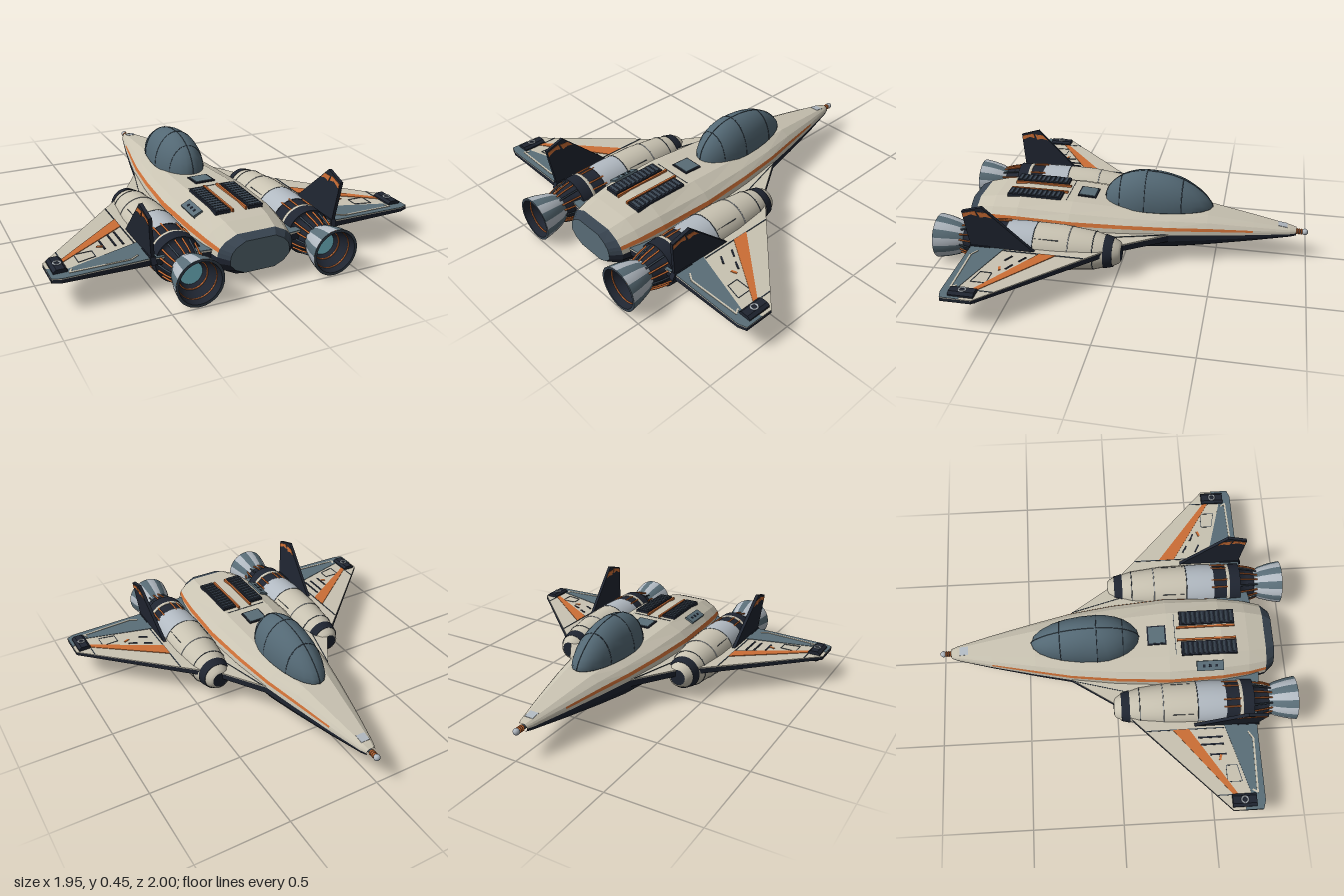
import * as THREE from 'three';

const mat = (name, color) => Object.assign(new THREE.MeshStandardMaterial({ color }), { name });
const cream = mat('cream hull', 0xc9c3b2), navy = mat('dark navy', 0x1f2531), slate = mat('slate', 0x5a6e78),
  orange = mat('orange trim', 0xcc6e35), metal = mat('bare metal', 0xb2bac2), glass = mat('canopy glass', 0x536874),
  glow = mat('engine glow', 0x88dcec), frame = mat('frame grey', 0x384450);

// Fuselage stations: z, half width, top, chine and bottom heights
const stations = [
  [-0.935, 0.027, 0.182, 0.162, 0.142], [-0.9, 0.042, 0.19, 0.162, 0.135], [-0.7, 0.095, 0.22, 0.165, 0.105],
  [-0.45, 0.155, 0.255, 0.17, 0.07], [-0.25, 0.2, 0.267, 0.175, 0.047], [0, 0.235, 0.275, 0.18, 0.035],
  [0.3, 0.26, 0.293, 0.175, 0.025], [0.6, 0.25, 0.3, 0.17, 0.02], [0.75, 0.23, 0.282, 0.165, 0.025],
  [0.85, 0.205, 0.26, 0.16, 0.05], [0.9, 0.16, 0.242, 0.155, 0.075]];
// Half section: width fraction, height fraction (+ above chine, - below)
const section = [[0, 1], [0.5, 1], [0.8, 0.7], [0.935, 0.42], [0.975, 0.24], [1, 0], [1, -0.3], [0.82, -0.7], [0.5, -1], [0, -1]];
const hullPoint = (i, j, s) => {
  const [z, w, t, m, b] = stations[i], [u, v] = section[j];
  return [s * u * w, v > 0 ? m + v * (t - m) : m + v * (m - b), z];
};

export function createModel() {
  const model = new THREE.Group();
  const add = (name, geo, material, parent = model) => {
    const m = new THREE.Mesh(geo, material);
    m.name = name;
    parent.add(m);
    return m;
  };
  const box = (name, w, h, d, x, y, z, material, parent) => {
    const m = add(name, new THREE.BoxGeometry(w, h, d), material, parent);
    m.position.set(x, y, z);
    return m;
  };
  const shapeOf = pts => new THREE.Shape(pts.map(p => new THREE.Vector2(...p)));
  const extrude = (pts, depth) => new THREE.ExtrudeGeometry(shapeOf(pts), { depth, bevelEnabled: false });

  // Faceted hull bands between section points j0..j1 and stations i0..i1
  const band = (name, i0, i1, j0, j1, material) => {
    const pos = [];
    for (const s of [1, -1]) for (let i = i0; i < i1; i++) for (let j = j0; j < j1; j++) {
      const a = hullPoint(i, j, s), b = hullPoint(i, j + 1, s), c = hullPoint(i + 1, j + 1, s), d = hullPoint(i + 1, j, s);
      pos.push(...(s > 0 ? [a, d, c, a, c, b] : [a, c, d, a, b, c]).flat());
    }
    const g = new THREE.BufferGeometry();
    g.setAttribute('position', new THREE.Float32BufferAttribute(pos, 3));
    g.computeVertexNormals();
    add(name, g, material);
  };
  band('upperHull', 0, 9, 0, 3, cream);
  band('noseSideBand', 0, 2, 3, 4, cream);
  band('hullStripe', 2, 9, 3, 4, orange);
  band('chineBand', 0, 9, 4, 5, cream);
  band('lowerHull', 0, 9, 5, 9, navy);
  band('tailChamfer', 9, 10, 0, 5, frame);
  band('tailChamferLower', 9, 10, 5, 9, navy);
  const tail = section.map((_, j) => hullPoint(10, j, 1).slice(0, 2));
  const tailOutline = [...tail, ...tail.slice(1, -1).reverse().map(([x, y]) => [-x, y])];
  add('tailPlate', new THREE.ShapeGeometry(shapeOf(tailOutline)), slate).position.z = 0.9;

  // Nose probe
  const ring = (name, r, tube, z, material, parent) => {
    const m = add(name, new THREE.TorusGeometry(r, tube, 6, 28), material, parent);
    m.position.z = z;
    return m;
  };
  const probe = new THREE.Group();
  probe.name = 'noseProbe';
  probe.position.y = 0.162;
  model.add(probe);
  add('probeRod', new THREE.CylinderGeometry(0.011, 0.013, 0.06, 10).rotateX(-Math.PI / 2), frame, probe).position.z = -0.95;
  add('probeBall', new THREE.SphereGeometry(0.018, 12, 8), metal, probe).position.z = -0.982;
  for (const z of [-0.94, -0.952, -0.964]) ring('probeRing', 0.012, 0.005, z, orange, probe);
  box('noseSensor', 0.05, 0.008, 0.05, 0, 0.194, -0.86, metal).rotation.x = -0.15;

  // Teardrop canopy with fine ribs
  const teardrop = g => {
    const p = g.attributes.position;
    for (let i = 0; i < p.count; i++) {
      const y = p.getY(i), z = p.getZ(i), droop = z < 0 ? 1 - 0.35 * z ** 4 : 1;
      p.setXYZ(i, p.getX(i) * 0.132, 0.268 + y * (y > 0 ? 0.19 * droop : 0.025), -0.1 + z * (z > 0 ? 0.24 : 0.37));
    }
    g.computeVertexNormals();
    return g;
  };
  add('canopy', teardrop(new THREE.SphereGeometry(1, 24, 16)), glass);
  add('canopySpine', teardrop(new THREE.TorusGeometry(1, 0.009, 6, 32, Math.PI).rotateY(Math.PI / 2)), frame);
  for (const t of [-0.55, 0, 0.6])
    add('canopyRib', teardrop(new THREE.TorusGeometry(Math.sqrt(1 - t * t), 0.008, 6, 24, Math.PI).translate(0, 0, t)), frame);

  // Deck details: hatch, louvred vents, side equipment pad
  box('hatchFrame', 0.112, 0.014, 0.106, 0, 0.289, 0.237, navy).rotation.x = -0.06;
  box('hatch', 0.096, 0.018, 0.09, 0, 0.29, 0.237, slate).rotation.x = -0.06;
  const pad = box('sidePad', 0.055, 0.014, 0.15, -0.187, 0.272, 0.525, slate);
  pad.rotation.z = 0.46;
  for (const z of [-0.035, 0, 0.035]) box('padButton', 0.016, 0.006, 0.014, 0, 0.006, z, navy, pad);
  for (const s of [1, -1]) {
    box('ventBase', 0.08, 0.02, 0.31, s * 0.09, 0.298, 0.525, navy);
    for (let i = 0; i < 11; i++) box('ventSlat', 0.064, 0.007, 0.015, s * 0.09, 0.309, 0.39 + i * 0.027, frame).rotation.x = 0.3;
    box('ventStripe', 0.011, 0.018, 0.33, s * 0.037, 0.298, 0.515, orange);
    for (const [y, z, tilt] of [[0.034, 0, 0.04], [0.022, 0.52, 0.01]])
      box('bellyLine', 0.01, 0.01, 0.32, s * 0.09, y, z, metal).rotation.x = tilt;
  }
  box('deckSeam', 0.24, 0.004, 0.003, 0, 0.294, 0.34, frame);

  // Wing plates are outlined in x and z and thin out towards the tip
  const plate = (name, pts, y0, y1, material, s) => {
    const g = extrude(pts.map(([x, z]) => [s * x, z]), y1 - y0).rotateX(Math.PI / 2).translate(0, y1, 0);
    const p = g.attributes.position;
    for (let i = 0; i < p.count; i++) {
      const taper = 1 - 0.5 * (Math.abs(p.getX(i)) - 0.25) / 0.72;
      p.setY(i, 0.157 + (p.getY(i) - 0.157) * taper);
    }
    g.computeVertexNormals();
    add(name, g, material);
  };
  const strip = (x0, z0, x1, z1, w) => {
    const l = Math.hypot(x1 - x0, z1 - z0), dx = -(z1 - z0) / l * w / 2, dz = (x1 - x0) / l * w / 2;
    return [[x0 + dx, z0 + dz], [x1 + dx, z1 + dz], [x1 - dx, z1 - dz], [x0 - dx, z0 - dz]];
  };
  const wing = [[0.15, -0.25], [0.2, -0.25], [0.35, -0.02], [0.975, 0.59], [0.975, 0.75], [0.93, 0.765], [0.5, 0.765], [0.2, 0.81]];
  for (const s of [1, -1]) {
    plate('wingUnderside', wing, 0.137, 0.172, navy, s);
    plate('wingTop', wing, 0.172, 0.179, cream, s);
    plate('wingTrailingPanel', [[0.5, 0.58], [0.88, 0.69], [0.975, 0.65], [0.975, 0.75], [0.93, 0.765], [0.5, 0.765]], 0.179, 0.183, slate, s);
    plate('wingRootPanel', [[0.2, 0.6], [0.5, 0.6], [0.5, 0.765], [0.2, 0.81]], 0.179, 0.183, slate, s);
    plate('wingStripe', [[0.52, 0.295], [0.91, 0.61], [0.91, 0.635], [0.52, 0.385]], 0.179, 0.184, orange, s);
    plate('flapLine', strip(0.55, 0.71, 0.59, 0.735, 0.009), 0.183, 0.187, cream, s);
    plate('flapLine', strip(0.59, 0.735, 0.885, 0.727, 0.01), 0.183, 0.187, cream, s);
    plate('flapLine', strip(0.885, 0.73, 0.868, 0.7, 0.009), 0.183, 0.187, cream, s);
    plate('wingSeam', strip(0.52, 0.15, 0.52, 0.58, 0.005), 0.179, 0.183, frame, s);
    plate('wingSeam', strip(0.89, 0.51, 0.89, 0.6, 0.005), 0.179, 0.183, frame, s);
    plate('extensionSeam', strip(0.21, -0.235, 0.3, 0.1, 0.003), 0.179, 0.183, frame, s);
    for (const [x0, z0, x1, z1] of [[0.73, 0.57, 0.82, 0.57], [0.73, 0.57, 0.73, 0.63], [0.82, 0.57, 0.82, 0.65], [0.73, 0.63, 0.82, 0.65]])
      plate('wingHatchLine', strip(x0, z0, x1, z1, 0.003), 0.179, 0.183, frame, s);
    plate('wingMark', strip(0.67, 0.55, 0.7, 0.54, 0.012), 0.179, 0.184, orange, s);
    const slots = s < 0 ? [[0.57, 0.43, 0.57, 0.57], [0.61, 0.44, 0.61, 0.57], [0.667, 0.49, 0.667, 0.58]]
      : [[0.565, 0.443, 0.607, 0.468], [0.64, 0.49, 0.685, 0.514], [0.565, 0.517, 0.61, 0.543]];
    for (const q of slots) plate('wingSlot', strip(...q, 0.009), 0.179, 0.184, navy, s);

    // Wing tip pod
    const pod = new THREE.Group();
    pod.name = 'tipPod';
    pod.position.set(s * 0.922, 0.16, 0.65);
    model.add(pod);
    add('podBody', extrude([[-0.034, -0.018], [-0.02, -0.03], [0.02, -0.03], [0.036, -0.018], [0.036, 0.018], [0.02, 0.03], [-0.02, 0.03], [-0.034, 0.018]]
      .map(([x, y]) => [s * x, y]), 0.13).translate(0, 0, -0.065), navy, pod);
    add('podLampRing', new THREE.TorusGeometry(0.017, 0.005, 6, 20).rotateX(Math.PI / 2), metal, pod).position.y = 0.031;

    // Tail fin leaning outwards
    const fin = new THREE.Group();
    fin.name = 'tailFin';
    fin.position.set(s * 0.495, 0.16, 0);
    fin.rotation.z = -s * 0.09;
    model.add(fin);
    const upright = (name, pts, t, material) => add(name, extrude(pts, t).rotateY(-Math.PI / 2).translate(t / 2, 0, 0), material, fin);
    upright('finBlade', [[0.4, 0], [0.43, 0.025], [0.68, 0.268], [0.79, 0.235], [0.765, 0]], 0.018, navy);
    upright('finBase', [[0.64, -0.01], [0.66, 0.025], [0.77, 0.025], [0.785, -0.01]], 0.028, navy);
    upright('finRearPatch', [[0.705, 0.215], [0.715, 0.245], [0.785, 0.225], [0.783, 0.2], [0.74, 0.222]], 0.022, orange);
    upright('finFrontPatch', [[0.625, 0.208], [0.655, 0.238], [0.705, 0.24], [0.69, 0.207], [0.66, 0.215]], 0.022, orange);

    // Engine pod
    const engine = new THREE.Group();
    engine.name = 'engine';
    engine.position.set(s * 0.36, 0.135, 0);
    model.add(engine);
    const turn = (name, pts, material, start, length) =>
      add(name, new THREE.LatheGeometry(pts.map(p => new THREE.Vector2(...p)), length ? 3 : 32, start, length).rotateX(Math.PI / 2), material, engine);
    turn('engineNoseTip', [[0, -0.024], [0.045, -0.022]], navy);
    turn('engineNose', [[0.045, -0.022], [0.06, -0.012], [0.075, 0.018]], cream);
    turn('engineNoseBand', [[0.075, 0.018], [0.08, 0.018], [0.092, 0.065], [0.088, 0.065]], navy);
    turn('engineCowl', [[0.088, 0.065], [0.103, 0.12], [0.114, 0.22], [0.123, 0.3], [0.125, 0.44]], cream);
    turn('engineMetalBand', [[0.125, 0.44], [0.126, 0.52], [0.122, 0.6]], metal);
    turn('engineDarkBand', [[0.122, 0.6], [0.116, 0.6], [0.116, 0.675]], navy);
    turn('engineCreamRing', [[0.116, 0.675], [0.122, 0.675], [0.122, 0.692], [0.118, 0.692]], cream);
    turn('engineRearBand', [[0.122, 0.692], [0.12, 0.755]], navy);
    turn('engineNeck', [[0.12, 0.755], [0.092, 0.757], [0.085, 0.8], [0.074, 0.85]], navy);
    for (const [z, r] of [[0.12, 0.103], [0.25, 0.118], [0.44, 0.1245]]) ring('engineSeam', r, 0.0025, z, z === 0.25 ? metal : frame, engine);
    for (let k = 0; k < 4; k++) {
      const a = k * Math.PI / 2 + Math.PI / 4;
      box('cowlSeam', 0.003, 0.003, 0.14, Math.cos(a) * 0.123, Math.sin(a) * 0.123, 0.37, frame, engine);
    }
    // Fuel lines: short stubs on the dark band, longer ones round the neck
    const pipe = (name, a, pts, material) => {
      const path = pts.map(([r, z]) => new THREE.Vector3(r * Math.cos(a), r * Math.sin(a), z));
      add(name, new THREE.TubeGeometry(new THREE.CatmullRomCurve3(path), 8, 0.005, 6), material, engine);
    };
    for (let k = 0; k < 18; k++) {
      const a = k / 18 * Math.PI * 2;
      pipe('fuelLine', a, [[0.112, 0.745], [0.104, 0.78], [0.096, 0.82], [0.083, 0.86]], k % 3 ? orange : frame);
      if (k % 3 !== 1) pipe('fuelStub', a, [[0.12, 0.585], [0.121, 0.63], [0.118, 0.68]], orange);
    }
    // Flared nozzle with alternating petals
    const petals = 16, step = Math.PI * 2 / petals;
    for (let k = 0; k < petals; k++)
      turn('nozzlePetal', [[0.074, 0.84], [0.096, 0.885], [0.113, 0.945], [0.122, 1]], k % 2 ? slate : metal, k * step, step);
    turn('nozzleLip', [[0.122, 1], [0.108, 1]], frame);
    turn('nozzleInside', [[0.108, 1], [0.095, 0.945], [0.058, 0.89]], navy);
    ring('nozzleRing', 0.1, 0.004, 0.962, orange, engine);
    ring('nozzleInnerRing', 0.074, 0.004, 0.915, orange, engine);
    add('engineGlow', new THREE.CircleGeometry(0.058, 28), glow, engine).position.z = 0.895;
  }
  return model;
}
